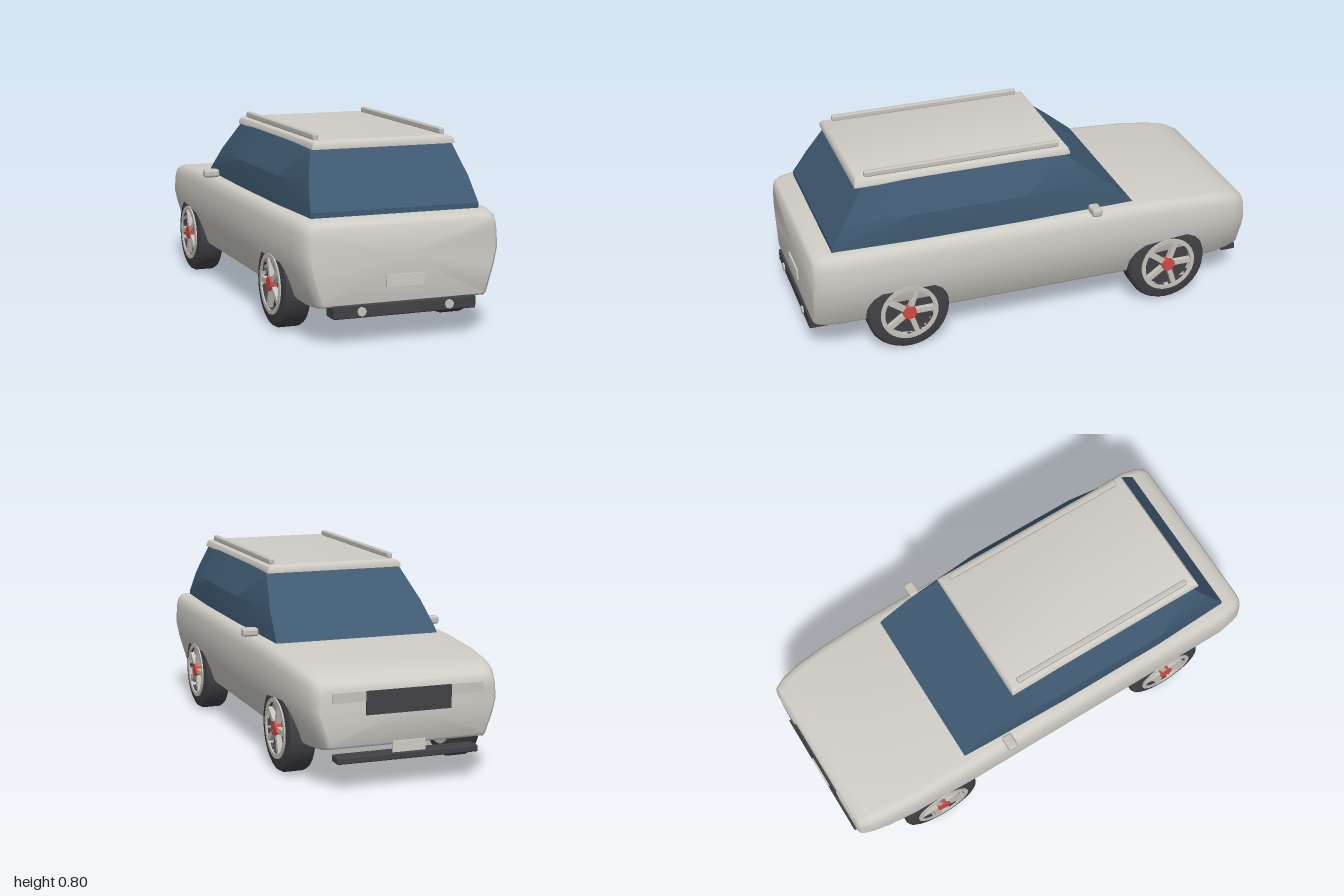
import * as THREE from 'three';
import { toCreasedNormals } from 'three/addons/utils/BufferGeometryUtils.js';
import { RoundedBoxGeometry } from 'three/addons/geometries/RoundedBoxGeometry.js';

const mat = (name, color) => new THREE.MeshStandardMaterial({ name, color });

// Skin closed rings of [x, y, z] points and cap both ends
function loft(rings, crease) {
  const pos = [];
  const n = rings[0].length;
  const tri = (a, b, c) => pos.push(...a, ...b, ...c);
  for (let i = 0; i < rings.length - 1; i++) {
    for (let j = 0; j < n; j++) {
      const k = (j + 1) % n;
      tri(rings[i][j], rings[i][k], rings[i + 1][k]);
      tri(rings[i][j], rings[i + 1][k], rings[i + 1][j]);
    }
  }
  const centre = (r) => [0, 1, 2].map((c) => r.reduce((s, p) => s + p[c], 0) / n);
  const first = rings[0], last = rings[rings.length - 1];
  const c0 = centre(first), c1 = centre(last);
  for (let j = 0; j < n; j++) {
    const k = (j + 1) % n;
    tri(c0, first[k], first[j]);
    tri(c1, last[j], last[k]);
  }
  const g = new THREE.BufferGeometry();
  g.setAttribute('position', new THREE.Float32BufferAttribute(pos, 3));
  return toCreasedNormals(g, crease);
}

export function createModel() {
  const car = new THREE.Group();
  car.name = 'car';
  const paint = mat('paint', 0xd0cdc6);
  const glass = mat('glass', 0x3f5a72);
  const rubber = mat('darkRubber', 0x414045);
  const silver = mat('silver', 0xc6c3bc);
  const red = mat('hubRed', 0xcf4a45);

  const add = (name, geo, material, x = 0, y = 0, z = 0, parent = car) => {
    const m = new THREE.Mesh(geo, material);
    m.name = name;
    m.position.set(x, y, z);
    parent.add(m);
    return m;
  };
  const box = (w, h, d) => new THREE.BoxGeometry(w, h, d);
  const rounded = (w, h, d, r) => new RoundedBoxGeometry(w, h, d, 3, r);

  // Body: half profile as [width factor, height factor], swept nose to tail
  const half = [[0.86, 0], [0.885, 0.04], [0.965, 0.38], [1, 0.6], [0.985, 0.85],
    [0.965, 0.94], [0.93, 0.985], [0.88, 1]];
  const stations = [ // z, half width, bottom, top
    [-0.99, 0.37, 0.19, 0.41], [-0.98, 0.382, 0.178, 0.432], [-0.93, 0.4, 0.168, 0.457],
    [-0.85, 0.415, 0.162, 0.472], [-0.72, 0.427, 0.158, 0.485], [-0.45, 0.434, 0.157, 0.499],
    [0, 0.434, 0.157, 0.5], [0.87, 0.434, 0.157, 0.5], [0.94, 0.42, 0.157, 0.495],
    [0.972, 0.406, 0.16, 0.485], [0.983, 0.393, 0.168, 0.468],
  ];
  const bodyRings = stations.map(([z, w, b, t]) => {
    const side = half.map(([fx, fy]) => [w * fx, b + (t - b) * fy, z]);
    return [...side, ...side.map(([x, y]) => [-x, y, z]).reverse()];
  });
  add('body', loft(bodyRings, 0.7), paint);

  // Glasshouse: levels with sides that bulge between the corner posts
  const levels = [ // y, front z, rear z, corner x, side x
    [0.49, -0.455, 0.89, 0.362, 0.375], [0.52, -0.43, 0.89, 0.36, 0.376],
    [0.62, -0.31, 0.825, 0.345, 0.378], [0.755, -0.145, 0.738, 0.305, 0.308],
  ];
  const glassRings = levels.map(([y, f, r, c, s]) => {
    const side = [[c, y, r], [s, y, 0.55], [s, y, 0.05], [c, y, f]];
    return [...side, ...side.map(([x, , z]) => [-x, y, z]).reverse()];
  });
  add('glasshouse', loft(glassRings, 0.45), glass);

  // Roof panel with softened upper edge
  const roofRings = [[0.749, 0.308, 0], [0.76, 0.308, 0], [0.775, 0.3, 0.004], [0.783, 0.28, 0.012]]
    .map(([y, x, i]) => {
      const f = -0.172 + i, r = 0.768 - i;
      return [[x, y, r], [x, y, f], [-x, y, f], [-x, y, r]];
    });
  add('roof', loft(roofRings, 0.7), paint);

  // Roof rails and door mirrors
  for (const s of [1, -1]) {
    add('roofRail', rounded(0.024, 0.026, 0.85, 0.007), silver, s * 0.275, 0.793, 0.295);
    add('doorMirror', rounded(0.07, 0.036, 0.046, 0.012), silver, s * 0.416, 0.518, -0.252);
  }

  // Tail: bumper, round lamps and blank plate
  add('rearBumper', rounded(0.61, 0.052, 0.08, 0.006), rubber, 0, 0.14, 0.953);
  for (const s of [1, -1]) {
    const lamp = new THREE.CylinderGeometry(0.019, 0.019, 0.012, 8).rotateX(Math.PI / 2);
    add('rearLamp', lamp, silver, s * 0.187, 0.14, 0.994);
  }
  add('rearPlate', box(0.16, 0.048, 0.009), paint, 0, 0.251, 0.985);

  // Nose: grille, lamps, bumper and blank plate
  add('grille', box(0.36, 0.095, 0.012), rubber, 0, 0.355, -0.993);
  for (const s of [1, -1]) {
    add('headlamp', box(0.14, 0.04, 0.012), silver, s * 0.25, 0.382, -0.988);
  }
  add('frontBumper', rounded(0.6, 0.028, 0.068, 0.006), rubber, 0, 0.132, -0.964);
  add('frontPlate', box(0.14, 0.045, 0.008), paint, 0, 0.172, -0.996);

  // Wheels: dished tyre, rim ring, five spokes and hub
  const v = (r, y) => new THREE.Vector2(r, y);
  const lathe = (pts) => toCreasedNormals(
    new THREE.LatheGeometry(pts, 36).rotateZ(-Math.PI / 2), 0.5);
  const tyreHalf = [[0, 0.04], [0.108, 0.04], [0.108, 0.058], [0.16, 0.058], [0.172, 0.052], [0.18, 0.038]];
  const tyreGeo = lathe([...tyreHalf.map(([r, y]) => v(r, -y)),
    ...tyreHalf.map(([r, y]) => v(r, y)).reverse()]);
  const rimGeo = lathe([v(0.108, 0.064), v(0.108, -0.064), v(0.126, -0.064), v(0.126, 0.064), v(0.108, 0.064)]);
  const hubGeo = new THREE.CylinderGeometry(0.03, 0.03, 0.138, 16).rotateZ(Math.PI / 2);
  const spokeGeo = box(0.124, 0.022, 0.095).translate(0, 0, -0.064);
  for (const s of [1, -1]) {
    for (const [name, z] of [['frontWheel', -0.605], ['rearWheel', 0.585]]) {
      const wheel = new THREE.Group();
      wheel.name = name;
      wheel.position.set(s * 0.362, 0.183, z);
      add('tyre', tyreGeo, rubber, 0, 0, 0, wheel);
      add('rim', rimGeo, silver, 0, 0, 0, wheel);
      add('hub', hubGeo, red, 0, 0, 0, wheel);
      for (let i = 0; i < 5; i++) {
        add('spoke', spokeGeo, silver, 0, 0, 0, wheel).rotation.x = (i * Math.PI * 2) / 5;
      }
      car.add(wheel);
    }
  }
  return car;
}
